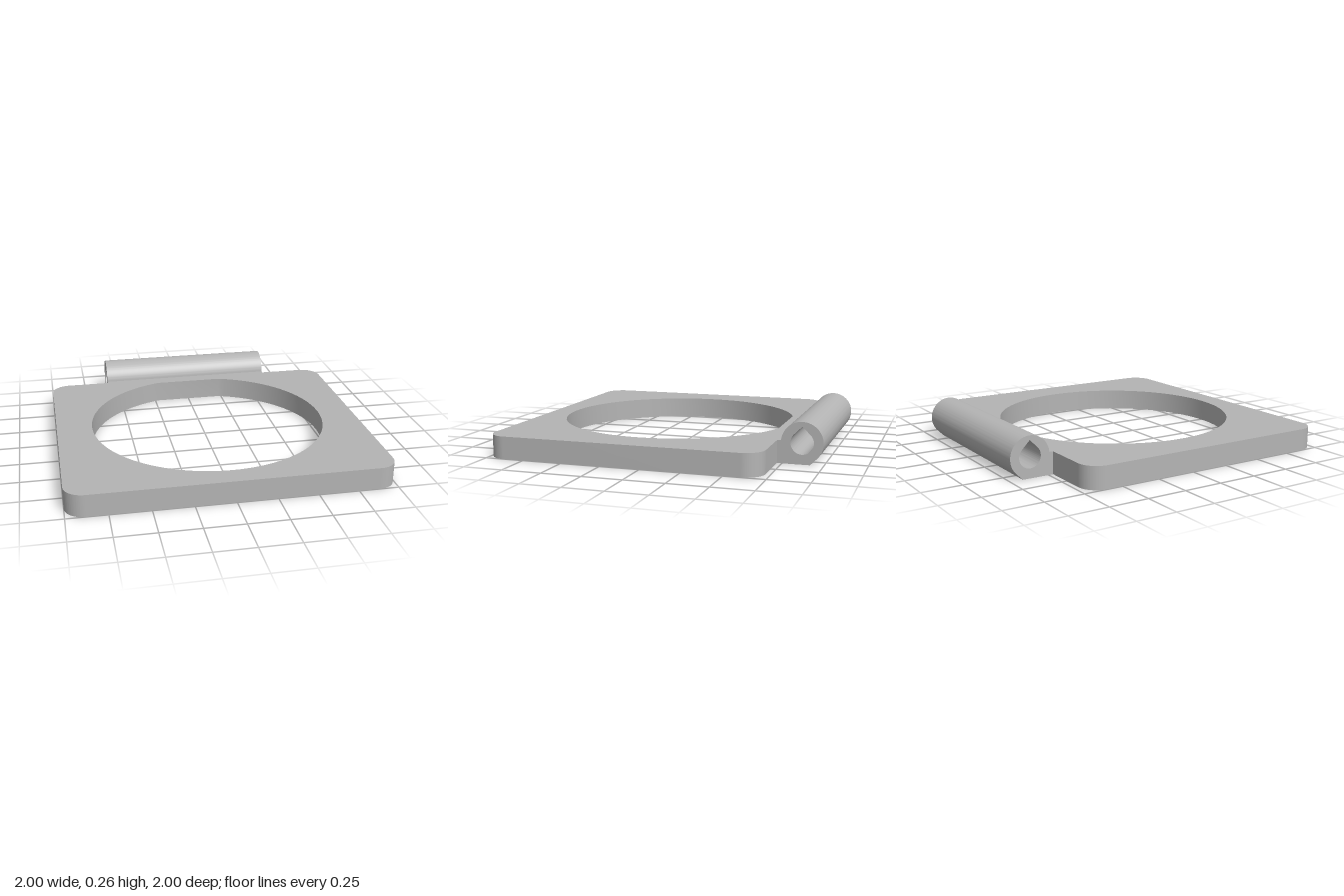
import * as THREE from 'three';
import { toCreasedNormals } from 'three/addons/utils/BufferGeometryUtils.js';

const PI = Math.PI;
const HEIGHT = 0.14;
const BACK = 0.72; // distance of the plate's back edge behind the centre

// Extrudes a shape with smooth curves and sharp edges
function extrude(shape, depth, curveSegments) {
  const geometry = new THREE.ExtrudeGeometry(shape, { depth, curveSegments, bevelEnabled: false });
  return toCreasedNormals(geometry, PI / 6);
}

// Rounded plate outline, drawn in x and -z
function plateShape() {
  const r = 0.12;
  const shape = new THREE.Shape();
  shape.absarc(1 - r, -1 + r, r, -PI / 2, 0);
  shape.absarc(1 - r, BACK - r, r, 0, PI / 2);
  shape.absarc(-1 + r, BACK - r, r, PI / 2, PI);
  shape.absarc(-1 + r, -1 + r, r, PI, PI * 1.5);
  shape.closePath();

  // Round opening cut off by a flat towards the hinge
  const radius = 0.77, centre = -0.085, flat = 0.65;
  const a = Math.asin((flat - centre) / radius);
  const hole = new THREE.Path();
  hole.absarc(0, centre, radius, PI - a, PI * 2 + a);
  hole.closePath();
  shape.holes.push(hole);
  return shape;
}

// Hinge barrel section, drawn in -z and y
function hingeShape() {
  const u = 0.87, v = 0.13, outer = 0.127, inner = 0.07;
  const shape = new THREE.Shape();
  shape.moveTo(BACK, 0);
  shape.lineTo(u + outer * Math.SQRT2 - v, 0); // 45 degree underside
  shape.absarc(u, v, outer, -PI / 4, PI - Math.asin((HEIGHT - v) / outer));
  shape.lineTo(BACK, HEIGHT);
  shape.closePath();

  // Teardrop pin hole
  const hole = new THREE.Path();
  hole.absarc(u, v, inner, PI * 0.75, PI * 2.25);
  hole.lineTo(u, v + inner * Math.SQRT2);
  hole.closePath();
  shape.holes.push(hole);
  return shape;
}

export function createModel() {
  const group = new THREE.Group();
  group.name = 'hingedRingPlate';
  const grey = new THREE.MeshStandardMaterial({ color: 0xb4b4b4 });
  grey.name = 'grey';

  const plate = new THREE.Mesh(extrude(plateShape(), HEIGHT, 48).rotateX(-PI / 2), grey);
  plate.name = 'plate';

  const hinge = new THREE.Mesh(extrude(hingeShape(), 1.185, 32).rotateY(PI / 2), grey);
  hinge.name = 'hingeBarrel';
  hinge.position.x = -0.595;

  group.add(plate, hinge);
  return group;
}
